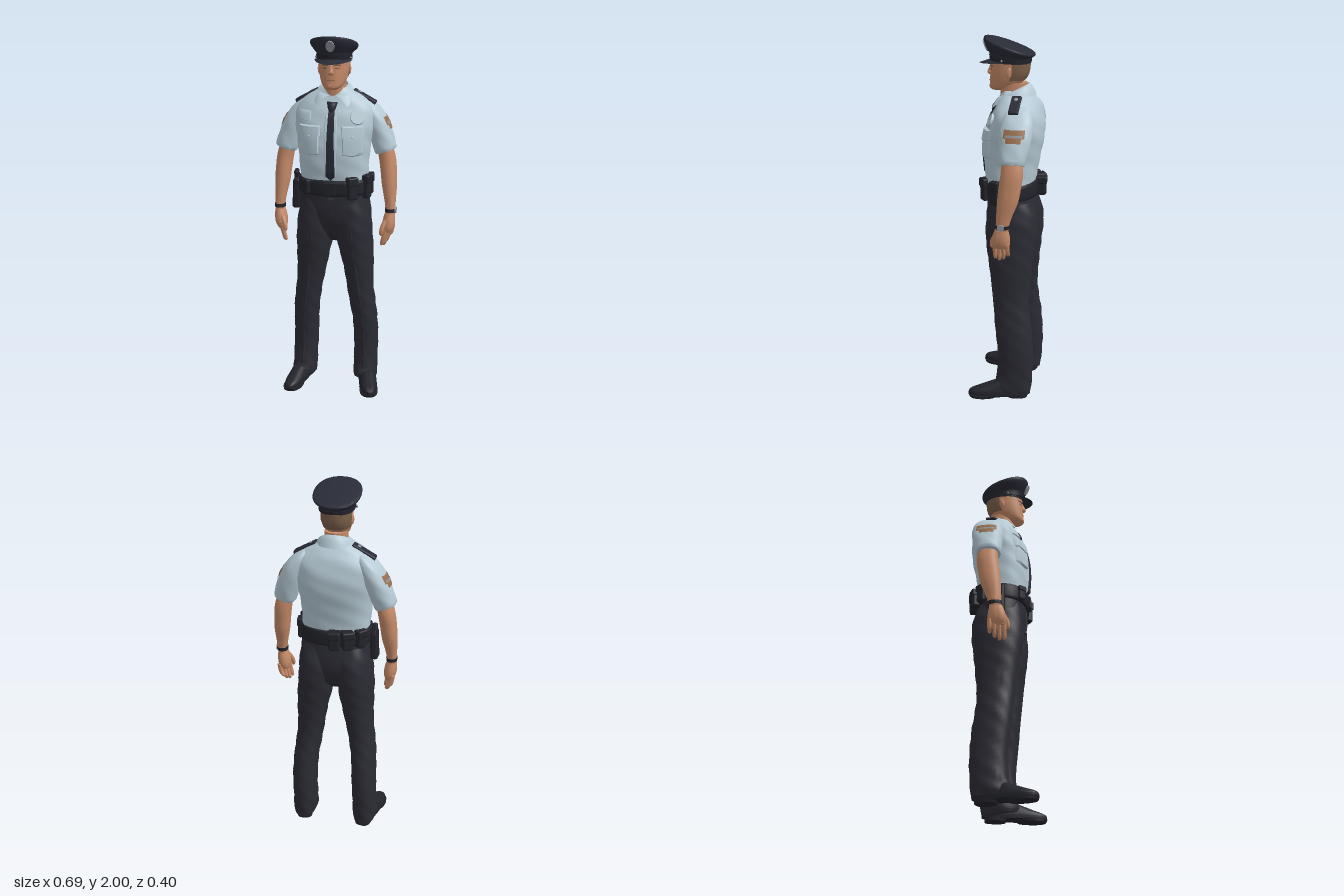
import * as THREE from 'three';
import { mergeVertices, toCreasedNormals } from 'three/addons/utils/BufferGeometryUtils.js';
import { RoundedBoxGeometry } from 'three/addons/geometries/RoundedBoxGeometry.js';

const mat = (name, color, side = THREE.FrontSide) => {
  const m = new THREE.MeshStandardMaterial({ color, side });
  m.name = name;
  return m;
};
const M = {
  shirt: mat('shirt blue', 0xb7cbd6, THREE.DoubleSide), trousers: mat('trouser charcoal', 0x2b2b34),
  navy: mat('navy cloth', 0x292b36, THREE.DoubleSide), skin: mat('skin', 0xc58a68),
  hair: mat('hair brown', 0x7c604a, THREE.DoubleSide), leather: mat('black leather', 0x23242b),
  silver: mat('silver', 0x8f959a, THREE.DoubleSide), patch: mat('patch brown', 0x98704f, THREE.DoubleSide),
};

// Smooth grid surface from a rule f(u, v) -> [x, y, z]
function grid(nu, nv, f, crease = 0.9) {
  const pos = [], idx = [];
  for (let j = 0; j <= nv; j++) for (let i = 0; i <= nu; i++) pos.push(...f(i / nu, j / nv, j));
  for (let j = 0; j < nv; j++) for (let i = 0; i < nu; i++) {
    const a = j * (nu + 1) + i, b = a + nu + 1;
    idx.push(a, a + 1, b + 1, a, b + 1, b);
  }
  const g = new THREE.BufferGeometry();
  g.setAttribute('position', new THREE.Float32BufferAttribute(pos, 3));
  g.setIndex(idx);
  return toCreasedNormals(mergeVertices(g, 1e-5), crease);
}

// Cross-section [y, cx, rx, zFront, zBack, slopeX, slopeZ] at a height
function section(S, y) {
  let i = 0;
  while (i < S.length - 2 && y > S[i + 1][0]) i++;
  const h = S[i + 1][0] - S[i][0], t = (y - S[i][0]) / h;
  const slope = (j, k) => {
    const a = S[Math.max(0, j - 1)], b = S[Math.min(S.length - 1, j + 1)];
    return ((b[k] || 0) - (a[k] || 0)) / (b[0] - a[0]) * h;
  };
  return [y, 1, 2, 3, 4, 5, 6].map((k, n) => n === 0 ? y :
    (S[i][k] || 0) * (1 + 2 * t) * (1 - t) ** 2 + slope(i, k) * t * (1 - t) ** 2
    + (S[i + 1][k] || 0) * t * t * (3 - 2 * t) + slope(i + 1, k) * t * t * (t - 1));
}

// Stacked rounded rings; partial angles or heights give a layer over the form
function loft(S, { p = 2.2, a0 = 0, a1 = Math.PI * 2, y0, y1, off = 0, n = 40, fold = 0, side = 1, sub = 5 } = {}) {
  const open = a1 - a0 < 6.28, ys = [];
  if (y0 !== undefined) for (let k = 0; k <= 8; k++) ys.push(y0 + (y1 - y0) * k / 8);
  else {
    for (let i = 0; i < S.length - 1; i++) for (let k = 0; k < sub; k++) ys.push(S[i][0] + (S[i + 1][0] - S[i][0]) * k / sub);
    ys.push(S[S.length - 1][0]);
  }
  if (side < 0) [a0, a1] = [-a1, -a0];
  const rows = ys.map(y => section(S, y));
  if (!open) { rows.unshift(rows[0]); rows.push(rows[rows.length - 1]); }
  return grid(n, rows.length - 1, (u, v, j) => {
    const [y, cx, rx, zf, zb, kx, kz] = rows[j], a = a0 + (a1 - a0) * (u === 1 && !open ? 0 : u);
    const r = !open && (j === 0 || j === rows.length - 1) ? 0 : 1;
    const e = c => Math.sign(c) * Math.abs(c) ** (2 / p);
    const o = off + fold * Math.sin(a * 3 + y * 38) * Math.sin(y * 23 + a * 2);
    const dx = e(Math.sin(a)) * (rx + o) * r, dz = e(Math.cos(a)) * ((zf - zb) / 2 + o) * r;
    return [side * cx + dx, y + side * kx * dx + kz * dz, (zf + zb) / 2 + dz];
  });
}
const frontZ = (S, x, y, p) => {
  const [, cx, rx, zf, zb] = section(S, y);
  const q = 1 - Math.min(1, Math.abs((x - cx) / rx)) ** p;
  return (zf + zb) / 2 + (zf - zb) / 2 * q ** (1 / p);
};
// Padded plate lying on the front of a loft; tip lowers the middle of its bottom edge
function plate(S, x0, x1, y0, y1, depth, { p = 2.2, tip = 0, taper = 0 } = {}) {
  return grid(16, 16, (u, v) => {
    const w = 1 - taper * v, x = (x0 + x1) / 2 + (x1 - x0) * (u - 0.5) * w;
    const y = y0 + (y1 - y0) * v - tip * (1 - Math.abs(2 * u - 1)) * (1 - v);
    const edge = Math.min(1, 16 * Math.min(u, 1 - u, v, 1 - v));
    return [x, y, frontZ(S, x, y, p) - 0.003 + (depth + 0.003) * edge];
  });
}

const TP = 2.5; // squareness of the shirt body
const TORSO = [[1.18, 0, .182, .118, -.138], [1.25, 0, .185, .126, -.145], [1.35, 0, .192, .135, -.16], [1.45, 0, .205, .132, -.178],
  [1.52, 0, .217, .117, -.184], [1.58, 0, .217, .097, -.178], [1.63, 0, .198, .073, -.163], [1.67, 0, .154, .053, -.14],
  [1.7, 0, .1, .042, -.118], [1.72, 0, .07, .035, -.1]];
const SLEEVE = [[1.372, .277, .054, .008, -.124, .33], [1.38, .275, .058, .012, -.128, .33], [1.45, .252, .062, .016, -.146, .2],
  [1.53, .222, .066, .018, -.157, 0], [1.6, .193, .06, .008, -.152, -.2], [1.645, .168, .042, -.012, -.128, -.3], [1.662, .156, .015, -.038, -.095, -.3]];
const ARM = [[1.01, .306, .024, .026, -.046], [1.05, .31, .027, .02, -.05], [1.1, .307, .031, .018, -.065], [1.18, .3, .041, .014, -.096],
  [1.25, .294, .044, .008, -.11], [1.33, .284, .046, -.002, -.12], [1.42, .262, .043, -.005, -.11]];
const HAND = [[.925, .296, .022, .036, -.044], [.95, .3, .032, .044, -.054], [.99, .304, .034, .04, -.054], [1.03, .308, .027, .026, -.046]];
const LEG = [[.035, .178, .064, .05, -.15, 0, .1], [.06, .178, .068, .056, -.152, 0, .1], [.12, .177, .067, .043, -.156], [.25, .175, .068, .036, -.16],
  [.4, .169, .069, .05, -.153], [.5, .158, .072, .06, -.137], [.6, .144, .074, .072, -.13], [.75, .128, .087, .09, -.147],
  [.85, .116, .098, .104, -.16], [.95, .108, .1, .116, -.168], [1.05, .1, .098, .114, -.16], [1.13, .095, .086, .1, -.13]];
const PELVIS = [[.86, 0, .04, .01, -.06], [.9, 0, .11, .06, -.115], [.97, 0, .185, .1, -.148], [1.05, 0, .197, .119, -.158], [1.17, 0, .19, .124, -.142]];
const BELT = [[1.145, 0, .19, .127, -.145], [1.15, 0, .198, .134, -.152], [1.228, 0, .196, .138, -.153], [1.234, 0, .19, .13, -.146]];
const HEAD = [[1.718, 0, .026, .098, .03], [1.732, 0, .05, .11, -.02], [1.76, 0, .067, .109, -.065], [1.8, 0, .077, .107, -.095],
  [1.84, 0, .081, .104, -.104], [1.9, 0, .08, .1, -.104], [1.93, 0, .06, .07, -.08]];
const CAP = [[1.865, 0, .09, .103, -.108, 0, .03], [1.9, 0, .094, .111, -.113, 0, .12], [1.908, 0, .1, .117, -.116, 0, .15],
  [1.935, 0, .122, .137, -.13, 0, .27], [1.95, 0, .126, .139, -.133, 0, .33], [1.957, 0, .118, .131, -.125, 0, .34], [1.964, 0, .07, .08, -.075, 0, .34]];

export function createModel() {
  const model = new THREE.Group();
  const add = (name, geo, m, x = 0, y = 0, z = 0, rx = 0, ry = 0, rz = 0) => {
    const mesh = new THREE.Mesh(geo, m);
    mesh.name = name;
    mesh.position.set(x, y, z);
    mesh.rotation.set(rx, ry, rz);
    model.add(mesh);
    return mesh;
  };
  const box = (w, h, d, r = 0.008) => new RoundedBoxGeometry(w, h, d, 2, r);
  const onShirt = (x0, x1, y0, y1, depth, shape) => plate(TORSO, x0, x1, y0, y1, depth, { p: TP, ...shape });

  // Shirt body, collar and tie
  add('shirt', loft(TORSO, { n: 64, fold: 0.003, p: TP }), M.shirt);
  add('collar', grid(48, 6, (u, v) => {
    const a = 0.24 + (Math.PI * 2 - 0.48) * u, f = (1 + Math.cos(a)) / 2, s = Math.sin(a), c = Math.cos(a), w = 1 - v;
    const bottom = [s * .105 + Math.sign(s) * .06 * f ** 6, 1.695 - .07 * f ** 3, -.025 + c * .115];
    const top = [s * .07, 1.757 - .075 * f, -.022 + c * .08];
    return top.map((t, k) => t * v + bottom[k] * w + (k === 1 ? 0.012 * Math.sin(v * Math.PI) : 0));
  }), M.shirt);
  add('tie', onShirt(-.026, .026, 1.25, 1.62, .014, { tip: .02, taper: .35 }), M.navy);
  add('tieKnot', loft([[1.6, 0, .015, .1, .06], [1.625, 0, .024, .1, .04], [1.65, 0, .03, .086, .03]], { n: 16 }), M.navy);
  add('placket', onShirt(-.034, .034, 1.24, 1.6, .005), M.shirt);
  for (const s of [-1, 1]) {
    const x0 = s < 0 ? -.178 : .055, x1 = s < 0 ? -.055 : .178;
    add('chestPocket', onShirt(x0 + .008, x1 - .008, 1.375, 1.505, .012, { tip: .01 }), M.shirt);
    add('pocketFlap', onShirt(x0, x1, 1.475, 1.53, .018, { tip: .018 }), M.shirt);
    add('pocketButton', new THREE.SphereGeometry(.006, 10, 8), M.shirt, s * .117, 1.475, frontZ(TORSO, s * .117, 1.475, TP) + .016);
  }
  add('chestBadge', new THREE.CylinderGeometry(.038, .04, .012, 24), M.shirt, .138, 1.575, frontZ(TORSO, .138, 1.575, TP) + .003, 1.15, 0, -.3);
  add('namePatch', onShirt(-.182, -.112, 1.55, 1.602, .008), M.shirt);

  // Sleeves, shoulder straps, arms and hands
  for (const side of [-1, 1]) {
    add('sleeve', loft(SLEEVE, { side, fold: 0.002 }), M.shirt);
    add('sleevePatch', loft(SLEEVE, { side, a0: .95, a1: 2.2, y0: 1.515, y1: 1.567, off: .004, n: 16 }), M.patch);
    add('sleevePatchTab', loft(SLEEVE, { side, a0: 1.15, a1: 2, y0: 1.488, y1: 1.515, off: .004, n: 16 }), M.patch);
    add('sleevePatchBand', loft(SLEEVE, { side, a0: 1.1, a1: 2.05, y0: 1.522, y1: 1.536, off: .006, n: 16 }), M.silver);
    add('shoulderStrap', box(.14, .022, .054), M.navy, side * .157, 1.664, -.054, 0, 0, side * -.5);
    add('strapButton', new THREE.SphereGeometry(.012, 12, 8), M.silver, side * .13, 1.69, -.054, 0, 0, side * -.5).scale.y = .5;
    add('arm', loft(ARM, { side, n: 28 }), M.skin);
    add('hand', loft(HAND, { side, n: 24 }), M.skin);
    // fingers run from inner front to outer back
    for (let i = 0; i < 4; i++) {
      const z = .033 - i * .025, d = [.006, 0, .012, .034][i], x = i * .01;
      add('finger', loft([[.848 + d, .268 + x, .004, z + .003, z - .007], [.855 + d, .27 + x, .01, z + .008, z - .012],
        [.905, .281 + x, .013, z + .01, z - .013], [.955, .291 + x, .014, z + .01, z - .013]], { side, n: 12, sub: 3 }), M.skin);
    }
    add('thumb', loft([[.915, .268, .004, .055, .045], [.925, .268, .011, .06, .04], [.96, .274, .013, .057, .028], [1, .29, .013, .035, .008]], { side, n: 12 }), M.skin);
    add(side > 0 ? 'watchStrap' : 'bracelet', loft(ARM, { side, y0: 1.038, y1: 1.058, off: .003 }), M.leather);
  }
  add('watchDial', new THREE.CylinderGeometry(.018, .02, .012, 20), M.silver, .338, 1.049, -.01, 0, 0, -Math.PI / 2);

  // Trousers and shoes
  add('trouserSeat', loft(PELVIS, { n: 56 }), M.trousers);
  add('fly', plate(PELVIS, -.014, .018, 1, 1.14, .004), M.trousers);
  for (const side of [-1, 1]) {
    add('trouserLeg', loft(LEG, { side, fold: 0.004 }), M.trousers);
    add('frontCrease', grid(4, 40, (u, v) => {
      const y = .1 + .85 * v, [, cx, , zf] = section(LEG, y);
      return [side * cx + (u - .5) * .024, y, zf + .003 - Math.abs(u - .5) * .014];
    }), M.trousers);
    add('shoe', loft([[.012, 0, .05, .168, -.162], [.03, 0, .051, .17, -.162], [.045, 0, .049, .155, -.158],
      [.065, 0, .044, .1, -.15], [.095, 0, .036, .02, -.13]], { p: 2.3 }), M.leather, side * .2, 0, .03, 0, side * .2);
    add('sole', loft([[0, 0, .05, .165, .01], [.016, 0, .052, .172, -.02]], { p: 2.3 }), M.leather, side * .2, 0, .03, 0, side * .2);
    add('heel', loft([[0, 0, .044, -.05, -.162], [.025, 0, .046, -.04, -.164]], { p: 3 }), M.leather, side * .2, 0, .03, 0, side * .2);
  }

  // Duty belt with pouches, placed by angle from the front toward +x
  add('belt', loft(BELT, { n: 56 }), M.leather);
  add('buckle', box(.06, .07, .014, .004), M.leather, 0, 1.19, .141);
  const pouches = [[.62, .055, .12, .04], [1.2, .05, .125, .04], [1.72, .055, .11, .03], [3.25, .06, .1, .07],
    [3.6, .06, .1, .065], [4.02, .055, .1, .045], [5.55, .045, .08, .03]];
  for (const [a, w, h, d] of pouches) {
    const x = Math.sin(a) * .2, z = -.008 + Math.cos(a) * .155;
    add('beltPouch', box(w, h, d, .012), M.leather, x, 1.19, z, 0, a);
    add('pouchFlap', box(w + .006, h * .4, d + .008, .008), M.leather, x, 1.19 + h * .34, z, 0, a);
  }
  add('holster', box(.042, .17, .07, .014), M.leather, -.211, 1.125, -.01, 0, 0, -.04);
  add('sidearmGrip', box(.026, .075, .04), M.leather, -.215, 1.215, -.03, .35);

  // Head and face
  add('neck', loft([[1.64, 0, .066, .05, -.09], [1.7, 0, .062, .052, -.088], [1.76, 0, .06, .055, -.092]], { n: 28 }), M.skin);
  add('head', loft(HEAD, { n: 48 }), M.skin);
  add('hair', loft(HEAD, { a0: 1.75, a1: Math.PI * 2 - 1.75, y0: 1.775, y1: 1.9, off: .003 }), M.hair);
  add('nose', loft([[1.797, 0, .01, .112, .09], [1.806, 0, .016, .123, .09], [1.82, 0, .011, .121, .09], [1.85, 0, .008, .108, .09]], { n: 16 }), M.skin);
  add('lips', plate(HEAD, -.022, .022, 1.768, 1.774, .002), M.patch);
  add('chin', loft([[1.722, 0, .016, .106, .08], [1.735, 0, .024, .113, .08], [1.752, 0, .018, .11, .08]], { n: 16 }), M.skin);
  for (const s of [-1, 1]) {
    const span = (a, b) => s > 0 ? [a, b] : [-b, -a];
    add('eyebrow', plate(HEAD, ...span(.014, .052), 1.845, 1.853, .004), M.hair);
    add('eye', plate(HEAD, ...span(.021, .045), 1.829, 1.836, .002), M.hair);
    add('ear', new THREE.SphereGeometry(1, 16, 12), M.skin, s * .081, 1.818, -.008, -.15, s * .35).scale.set(.008, .03, .016);
  }

  // Peaked cap
  add('cap', loft(CAP, { n: 56 }), M.navy);
  add('capBand', loft(CAP, { y0: 1.87, y1: 1.893, off: .003, n: 56 }), M.leather);
  add('visor', grid(32, 6, (u, v) => {
    const a = (u - .5) * 2.7, c = Math.cos(a), w = 1 - v;
    return [Math.sin(a) * (.09 + .014 * w), 1.884 - .024 * w * c - .012 * (1 - c), -.002 + c * (.1 + .067 * w * c ** .4)];
  }), M.navy);
  add('capBadge', new THREE.CylinderGeometry(.023, .023, .01, 16), M.silver, 0, 1.95, .131, 1.98).scale.z = 1.35;
  for (const s of [-1, 1]) add('capButton', new THREE.SphereGeometry(.006, 10, 8), M.silver, s * .093, 1.882, .03);
  return model;
}
